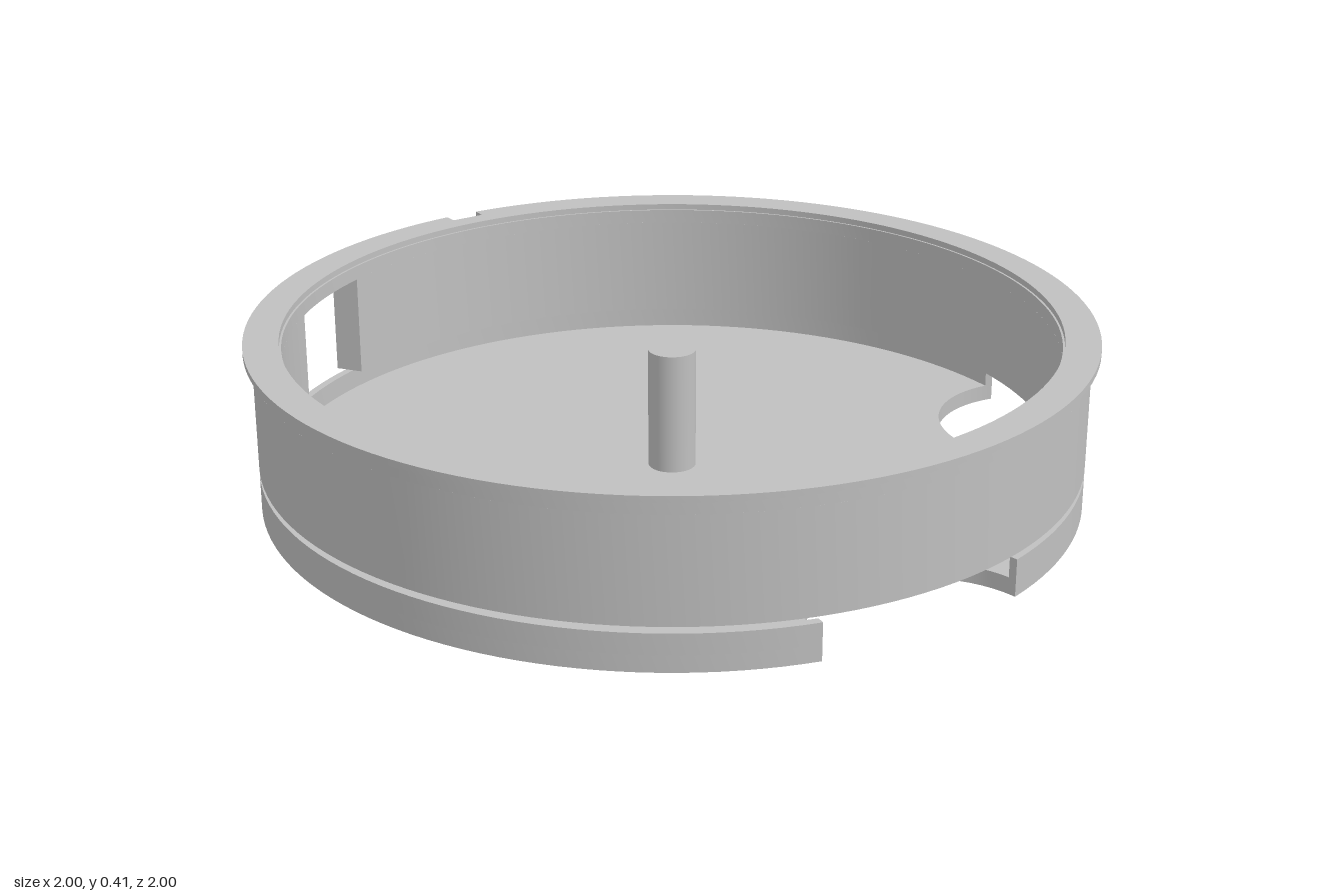
import * as THREE from 'three';
import { toCreasedNormals } from 'three/addons/utils/BufferGeometryUtils.js';

// Points along an arc, in plan (x right, y towards the back)
function arc(cx, cy, r, a0, a1) {
  const n = Math.max(2, Math.ceil(Math.abs(a1 - a0) / (Math.PI * 2) * 144));
  return Array.from({ length: n + 1 }, (_, i) => {
    const a = a0 + (a1 - a0) * i / n;
    return new THREE.Vector2(cx + r * Math.cos(a), cy + r * Math.sin(a));
  });
}
const polar = (r, a) => new THREE.Vector2(r * Math.cos(a), r * Math.sin(a));

export function createModel() {
  const model = new THREE.Group();
  model.name = 'roundHousing';
  const grey = new THREE.MeshStandardMaterial({ color: 0xc0c0c0 });
  grey.name = 'grey';

  // Raise a plan outline from y0 to y1
  function slab(name, points, y0, y1, holeRadius) {
    const shape = new THREE.Shape(points);
    if (holeRadius) shape.holes.push(new THREE.Path(arc(0, 0, holeRadius, Math.PI * 2, 0).slice(0, -1)));
    const geo = new THREE.ExtrudeGeometry(shape, { depth: y1 - y0, bevelEnabled: false });
    geo.rotateX(-Math.PI / 2).translate(0, y0, 0);
    const mesh = new THREE.Mesh(toCreasedNormals(geo, 0.5), grey);
    mesh.name = name;
    model.add(mesh);
  }
  // Part of a ring between two angles, with its own end angles on each radius
  const sector = (ro, o0, o1, ri, i0, i1) => [...arc(0, 0, ro, o0, o1), ...arc(0, 0, ri, i1, i0)];

  // Base: disc with two round bites at the right, and a thin upstanding rim
  const R = 0.98, rimIn = 0.96, biteDist = 0.975, biteR = 0.265, biteAngle = Math.PI / 5;
  const halfBite = r => Math.acos((r * r + biteDist ** 2 - biteR ** 2) / (2 * r * biteDist));
  const h = halfBite(R), hi = halfBite(rimIn);
  const g = Math.atan2(R * Math.sin(h), R * Math.cos(h) - biteDist);
  const bite = a => arc(biteDist * Math.cos(a), biteDist * Math.sin(a), biteR, a - g, a - Math.PI * 2 + g).slice(1, -1);
  const full = Math.PI * 2;
  slab('baseFloor', [
    ...arc(0, 0, R, biteAngle + h, full - biteAngle - h),
    ...bite(-biteAngle),
    ...arc(0, 0, R, -biteAngle + h, biteAngle - h),
    ...bite(biteAngle),
  ], 0, 0.04);
  slab('baseRim', sector(R, biteAngle + h, full - biteAngle - h, rimIn, biteAngle + hi, full - biteAngle - hi), 0.04, 0.09);
  slab('baseRimBetweenBites', sector(R, h - biteAngle, biteAngle - h, rimIn, hi - biteAngle, biteAngle - hi), 0.04, 0.09);

  // Upper ring, with a window at -x open to its lower edge
  const wallIn = 0.912;
  const wo = Math.PI - Math.asin(0.14 / R), wi = Math.PI - Math.asin(0.14 / wallIn);
  slab('ringWall', sector(R, -wo, wo, wallIn, -wi, wi), 0.105, 0.355);
  slab('ringWallTop', arc(0, 0, R, 0, full).slice(0, -1), 0.355, 0.39, wallIn);

  // Flange with a small notch at the back
  const notch = THREE.MathUtils.degToRad(144.3), d = 0.044;
  slab('flange', [
    ...arc(0, 0, 1, notch + d, notch - d + full),
    polar(0.967, notch - d), polar(0.967, notch + d),
  ], 0.39, 0.405, 0.917);

  // Centre post
  const post = new THREE.Mesh(new THREE.CylinderGeometry(0.057, 0.057, 0.295, 48), grey);
  post.name = 'centrePost';
  post.position.y = 0.04 + 0.295 / 2;
  model.add(post);

  return model;
}
